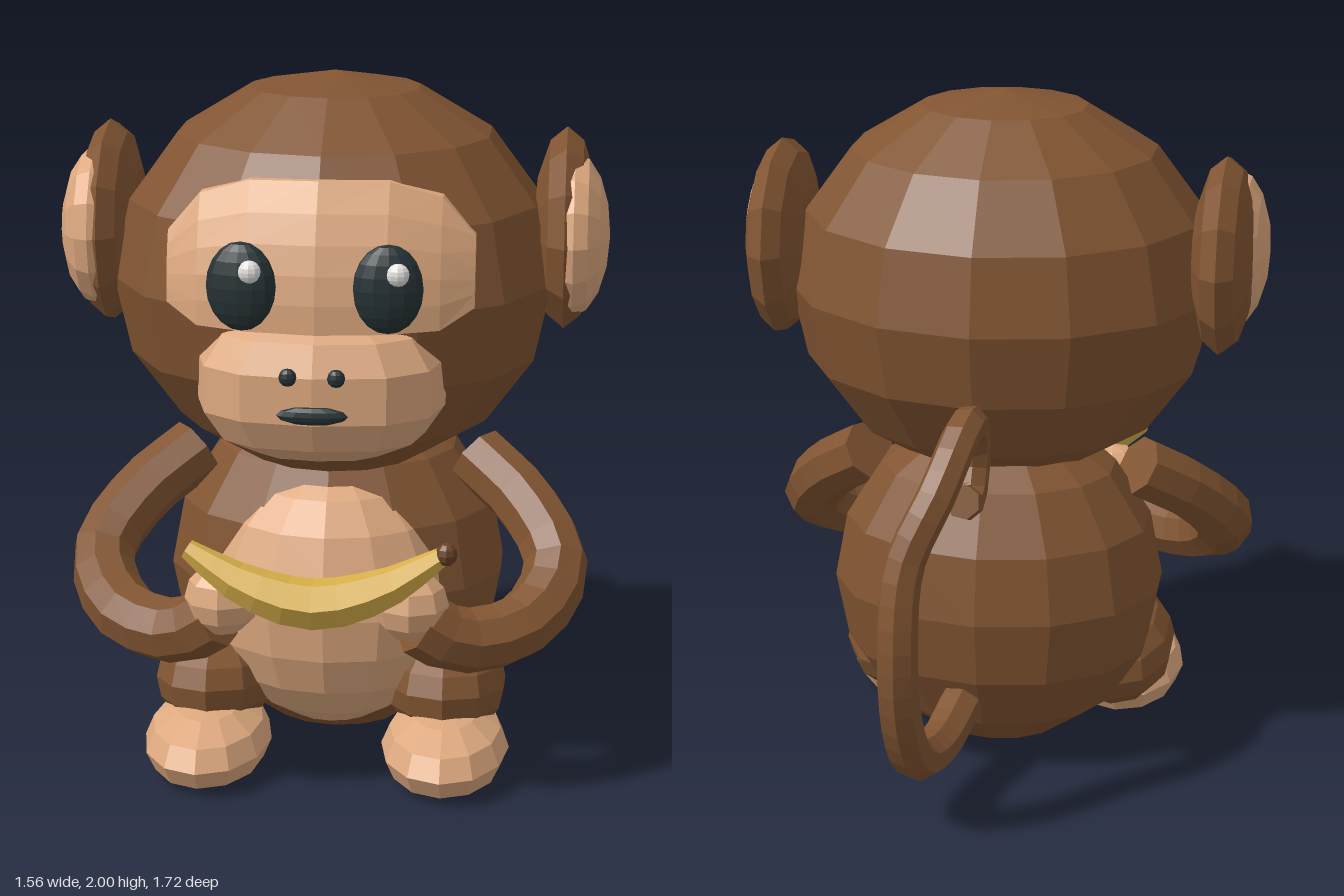
import * as THREE from 'three';

const mat = (name, color) => Object.assign(new THREE.MeshStandardMaterial({ color }), { name });

export function createModel() {
  const model = new THREE.Group();
  model.name = 'monkey';
  const fur = mat('brown fur', 0x825532);
  const skin = mat('tan skin', 0xdea97f);
  const black = mat('eye black', 0x263235);
  const white = mat('eye highlight', 0xe4e2df);
  const yellow = mat('banana yellow', 0xdab14a);
  const stemBrown = mat('stem brown', 0x6b4226);

  // Faceted normals for the low-poly look
  function add(name, geo, material) {
    const flat = geo.toNonIndexed();
    flat.computeVertexNormals();
    const mesh = new THREE.Mesh(flat, material);
    mesh.name = name;
    model.add(mesh);
  }

  // Ellipsoid; power below 1 makes it boxier, sideways puts its poles on x
  function ball(name, material, pos, radii, w = 12, h = 8, { power = 1, sideways = false, tilt = 0, turn = 0, floor = -9 } = {}) {
    const geo = new THREE.SphereGeometry(1, w, h);
    geo.rotateY(Math.PI / 2);
    if (sideways) geo.rotateZ(Math.PI / 2);
    const p = geo.attributes.position;
    const bulge = (v) => Math.sign(v) * Math.abs(v) ** power;
    for (let i = 0; i < p.count; i++) p.setXYZ(i, bulge(p.getX(i)), bulge(p.getY(i)), bulge(p.getZ(i)));
    geo.scale(...radii);
    geo.rotateX(tilt);
    geo.rotateY(turn);
    geo.translate(...pos);
    for (let i = 0; i < p.count; i++) p.setY(i, Math.max(p.getY(i), floor));
    add(name, geo, material);
  }

  // Tube along points with flat caps; radius may vary along t
  function tube(name, material, points, radius, steps, sides) {
    const curve = new THREE.CatmullRomCurve3(points.map((q) => new THREE.Vector3(...q)));
    const geo = new THREE.TubeGeometry(curve, steps, 1, sides);
    const p = geo.attributes.position;
    const v = new THREE.Vector3();
    for (let i = 0; i <= steps; i++) {
      const c = curve.getPointAt(i / steps);
      for (let j = 0; j <= sides; j++) {
        const k = i * (sides + 1) + j;
        v.fromBufferAttribute(p, k).sub(c).multiplyScalar(radius(i / steps)).add(c);
        p.setXYZ(k, v.x, v.y, v.z);
      }
    }
    const index = Array.from(geo.index.array);
    const last = steps * (sides + 1);
    for (let j = 1; j < sides - 1; j++) {
      index.push(0, j, j + 1, last, last + j + 1, last + j);
    }
    geo.setIndex(index);
    add(name, geo, material);
  }

  // Head and body
  const headPos = [0, 1.42, 0.155];
  const headRadii = [0.638, 0.58, 0.582];
  ball('head', fur, headPos, headRadii, 14, 8);
  ball('body', fur, [0, 0.52, 0.06], [0.5, 0.52, 0.418], 14, 8);
  ball('belly', skin, [0, 0.485, 0.25], [0.365, 0.4, 0.3], 14, 10);

  // Face mask: a patch that follows the head, with a rim sunk into it
  const columns = [-0.42, -0.33, -0.19, 0, 0.19, 0.33, 0.42];
  const tops = [1.62, 1.725, 1.77, 1.775, 1.77, 1.725, 1.62];
  const bottoms = [1.43, 1.38, 1.38, 1.38, 1.38, 1.38, 1.43];
  const rows = 5;
  const verts = [], faces = [];
  const clamp = THREE.MathUtils.clamp;
  const stride = columns.length + 2;
  for (let r = -1; r <= rows + 1; r++) {
    for (let c = -1; c <= columns.length; c++) {
      const cc = clamp(c, 0, columns.length - 1), rr = clamp(r, 0, rows);
      const x = columns[cc], y = bottoms[cc] + (tops[cc] - bottoms[cc]) * rr / rows;
      const depth = Math.sqrt(1 - (x / headRadii[0]) ** 2 - ((y - headPos[1]) / headRadii[1]) ** 2);
      const sunk = cc !== c || rr !== r;
      verts.push(x, y, headPos[2] + headRadii[2] * depth + (sunk ? -0.07 : 0.012));
    }
  }
  for (let r = 0; r < rows + 2; r++) {
    for (let c = 0; c < stride - 1; c++) {
      const a = r * stride + c;
      faces.push(a, a + 1, a + stride + 1, a, a + stride + 1, a + stride);
    }
  }
  const maskGeo = new THREE.BufferGeometry();
  maskGeo.setAttribute('position', new THREE.Float32BufferAttribute(verts, 3));
  maskGeo.setIndex(faces);
  add('faceMask', maskGeo, skin);

  // Muzzle and mouth
  ball('muzzle', skin, [0, 1.212, 0.56], [0.35, 0.217, 0.26], 12, 7, { power: 0.8 });
  ball('mouth', black, [0, 1.175, 0.81], [0.097, 0.026, 0.02], 12, 6);

  for (const s of [1, -1]) {
    const side = s > 0 ? 'left' : 'right';
    // Eyes and nostrils
    ball(side + 'Eye', black, [s * 0.197, 1.51, 0.74], [0.096, 0.122, 0.048], 14, 10, { turn: s * 0.12 });
    ball(side + 'EyeHighlight', white, [s * 0.197 + 0.03, 1.562, 0.793], [0.031, 0.031, 0.024], 10, 8);
    ball(side + 'Nostril', black, [s * 0.065, 1.28, 0.81], [0.025, 0.025, 0.018], 10, 6);

    // Ears
    ball(side + 'Ear', fur, [s * 0.655, 1.545, 0.1], [0.095, 0.295, 0.288], 12, 6, { sideways: true });
    ball(side + 'InnerEar', skin, [s * 0.68, 1.545, 0.18], [0.102, 0.232, 0.207], 14, 8, { sideways: true });

    // Arms and hands
    const arm = [[0.41, 0.87, 0.13], [0.56, 0.76, 0.24], [0.653, 0.62, 0.38], [0.57, 0.51, 0.55], [0.39, 0.493, 0.66], [0.28, 0.56, 0.7]];
    tube(side + 'Arm', fur, arm.map(([x, y, z]) => [s * x, y, z]), () => 0.093, 12, 8);
    ball(side + 'Hand', skin, [s * 0.262, 0.615, 0.713], [0.105, 0.105, 0.1], 8, 6);

    // Thighs and flat-soled feet
    ball(side + 'Thigh', fur, [s * 0.34, 0.22, 0.28], [0.178, 0.16, 0.255], 10, 8, { tilt: -0.15 });
    ball(side + 'Foot', skin, [s * 0.345, 0.085, 0.44], [0.185, 0.118, 0.285], 12, 6, { floor: 0.004 });
  }

  // Banana
  tube('banana', yellow, [[-0.35, 0.775, 0.765], [-0.19, 0.682, 0.785], [0, 0.635, 0.793], [0.19, 0.682, 0.785], [0.35, 0.775, 0.765]],
    (t) => 0.027 + 0.045 * Math.sin(Math.PI * t), 10, 6);
  ball('bananaStem', stemBrown, [0.362, 0.785, 0.775], [0.03, 0.033, 0.03], 8, 6);

  // Tail with a curled end
  tube('tail', fur, [
    [0.05, 0.25, -0.24], [0.09, 0.185, -0.45], [0.12, 0.22, -0.63], [0.135, 0.38, -0.75],
    [0.135, 0.62, -0.798], [0.12, 0.87, -0.758], [0.04, 1.06, -0.685], [-0.005, 1.19, -0.54],
    [-0.005, 1.165, -0.42], [0, 1.05, -0.37], [0, 0.95, -0.44], [0, 0.975, -0.525],
  ], (t) => 0.066 - 0.016 * t, 32, 7);

  return model;
}
